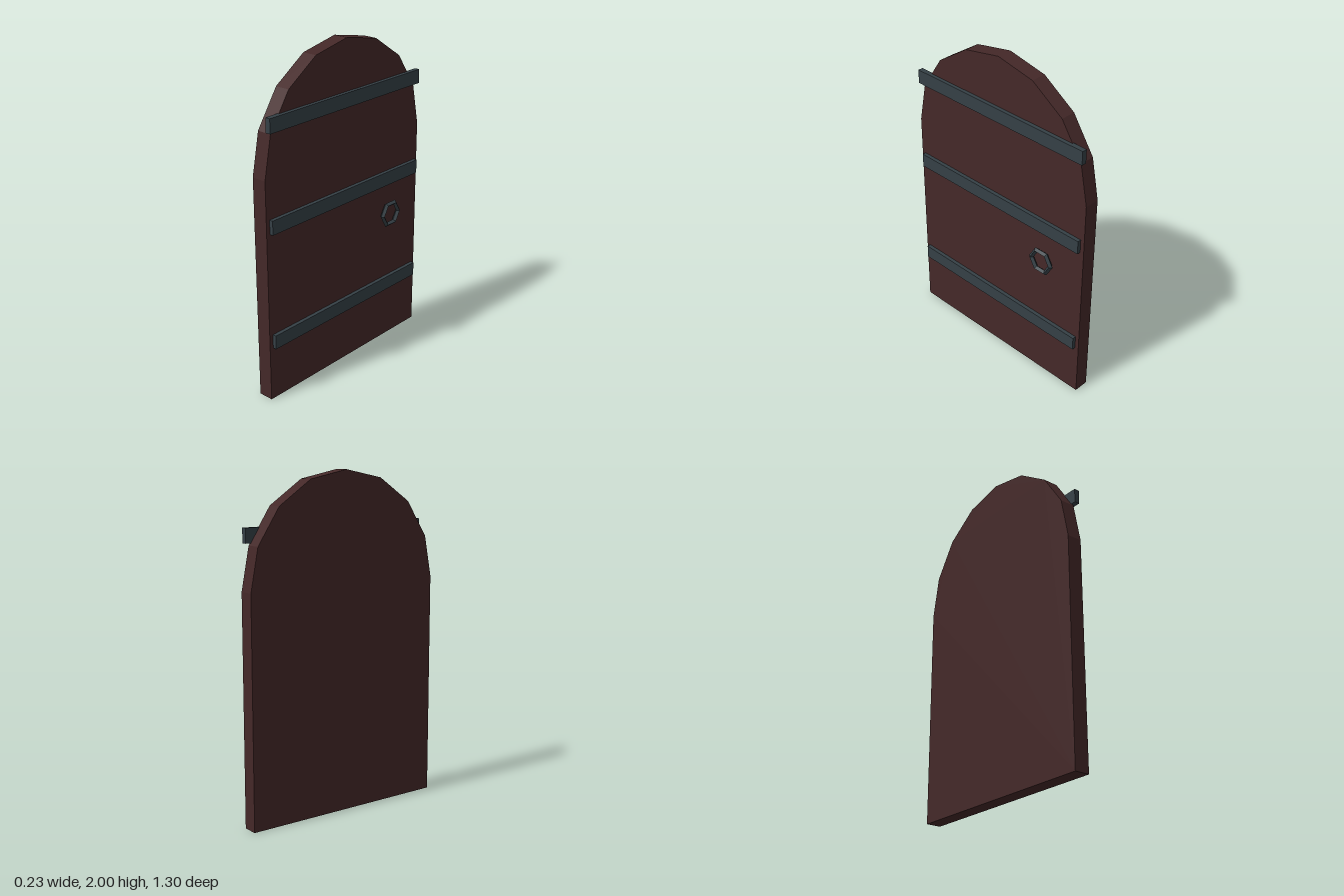
import * as THREE from 'three';

const wood = new THREE.MeshStandardMaterial({ color: 0x442828 });
wood.name = 'dark wood';
const iron = new THREE.MeshStandardMaterial({ color: 0x354046 });
iron.name = 'iron';

const HALF_WIDTH = 0.65, THICKNESS = 0.092, SPRING = 1.35;
const FACE = THICKNESS / 2;

function add(parent, name, geometry, material, x, y, z) {
  const mesh = new THREE.Mesh(geometry, material);
  mesh.name = name;
  mesh.position.set(x, y, z);
  parent.add(mesh);
  return mesh;
}

// Arched outline with an eight-sided half-round head
function doorShape() {
  const shape = new THREE.Shape();
  shape.moveTo(-HALF_WIDTH, 0);
  shape.lineTo(HALF_WIDTH, 0);
  for (let i = 0; i <= 8; i++) {
    const a = (i / 8) * Math.PI;
    shape.lineTo(HALF_WIDTH * Math.cos(a), SPRING + HALF_WIDTH * Math.sin(a));
  }
  return shape;
}

export function createModel() {
  const model = new THREE.Group();
  model.name = 'archedDoor';

  // The door faces +x and stands slightly ajar
  const door = new THREE.Group();
  door.name = 'doorLeaf';
  door.rotation.y = Math.PI / 2 + 0.088;
  door.position.x = -0.0125;
  model.add(door);

  // Slab
  const slab = new THREE.ExtrudeGeometry(doorShape(), { depth: THICKNESS, bevelEnabled: false });
  add(door, 'doorSlab', slab, wood, 0, 0, -FACE);

  // Iron straps across the face
  const strap = new THREE.BoxGeometry(1.25, 0.085, 0.032);
  [0.373, 1.078, 1.653].forEach((y, i) => {
    add(door, ['lowerStrap', 'middleStrap', 'upperStrap'][i], strap, iron, 0, y, FACE + 0.007);
  });

  // Hexagonal ring handle with a square section
  const ring = new THREE.TorusGeometry(0.073, 0.0155, 4, 6).toNonIndexed();
  ring.computeVertexNormals();
  add(door, 'ringHandle', ring, iron, 0.367, 0.847, FACE + 0.031);

  return model;
}
